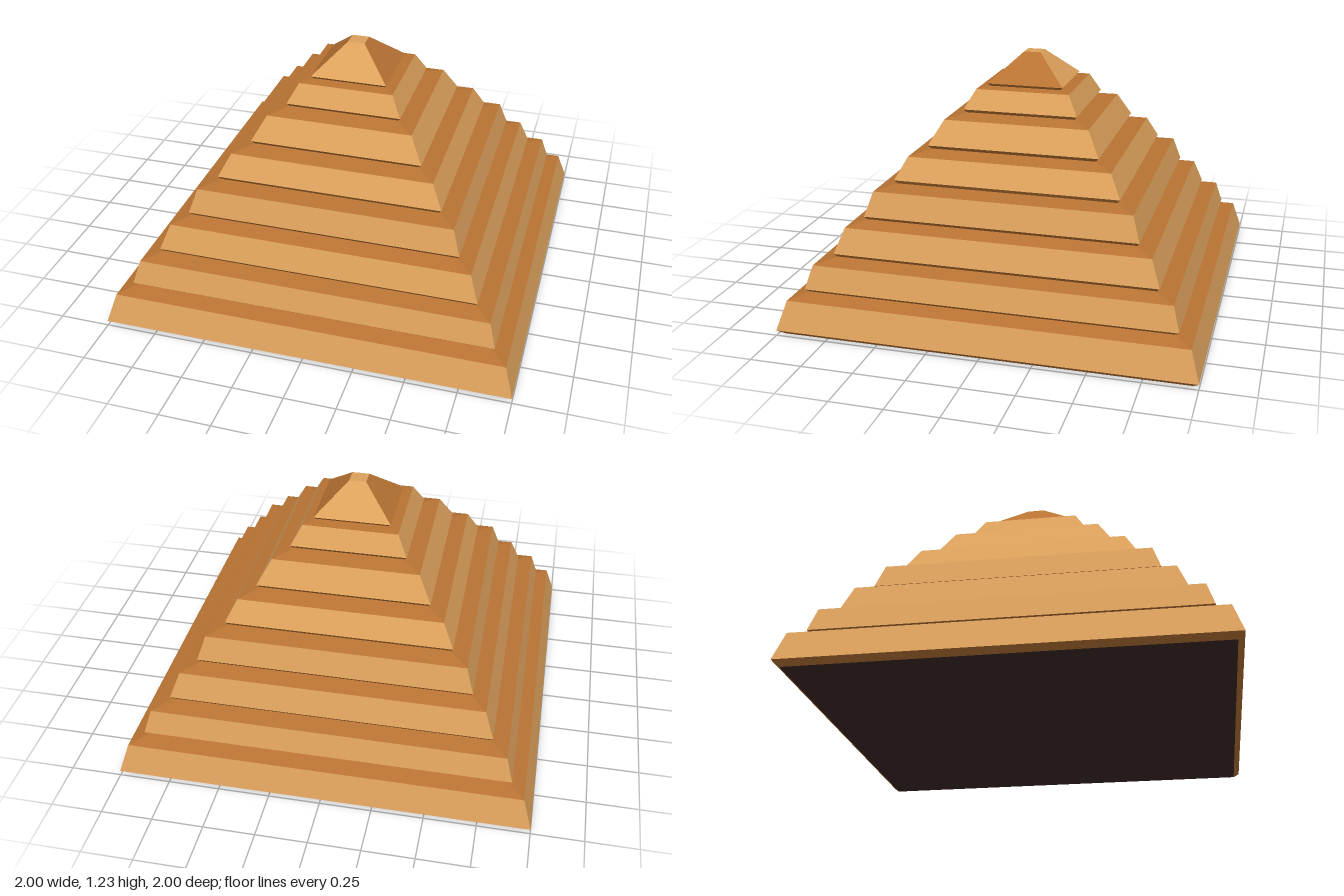
import * as THREE from 'three';

const mat = (name, color) => {
  const m = new THREE.MeshStandardMaterial({ color });
  m.name = name;
  return m;
};

// Open four-sided band from half-width w0 at y0 up to half-width w1 at y1.
// Faces come in the order +x, -z, -x, +z.
function band(name, [w0, y0], [w1, y1], material) {
  const r = Math.SQRT2;
  const g = new THREE.CylinderGeometry(w1 * r, w0 * r, y1 - y0, 4, 1, true, Math.PI / 4)
    .toNonIndexed();
  g.translate(0, (y0 + y1) / 2, 0);
  g.computeVertexNormals();
  if (Array.isArray(material)) {
    g.clearGroups();
    for (let i = 0; i < 4; i++) g.addGroup(i * 6, 6, i % 2);
  }
  const mesh = new THREE.Mesh(g, material);
  mesh.name = name;
  return mesh;
}

// Horizontal square facing up or down.
function plate(name, half, y, material, up) {
  const g = new THREE.PlaneGeometry(half * 2, half * 2);
  g.rotateX(up ? -Math.PI / 2 : Math.PI / 2).translate(0, y, 0);
  const mesh = new THREE.Mesh(g, material);
  mesh.name = name;
  return mesh;
}

export function createModel() {
  const sand = mat('sandstone', 0xdda15c);
  const clay = mat('clay brown', 0xb87333);
  const dark = mat('dark base', 0x3e2a26);

  // Each tier: [half-width, height] at its inner foot, lip and top edge
  const tiers = [
    [[0.97, 0], [1, 0.025], [0.957, 0.165]],
    [[0.875, 0.187], [0.893, 0.203], [0.86, 0.317]],
    [[0.772, 0.337], [0.785, 0.353], [0.74, 0.475]],
    [[0.657, 0.497], [0.67, 0.513], [0.632, 0.632]],
    [[0.542, 0.652], [0.555, 0.67], [0.5, 0.778]],
    [[0.41, 0.8], [0.425, 0.818], [0.36, 0.936]],
    [[0.272, 0.957], [0.285, 0.973], [0.234, 1.068]],
    [[0.178, 1.075], [0.19, 1.088], [0.042, 1.227]],
  ];

  const model = new THREE.Group();
  model.name = 'steppedPyramid';
  tiers.forEach(([foot, lip, top], i) => {
    const next = tiers[i + 1];
    const tier = new THREE.Group();
    tier.name = next ? `tier${i + 1}` : 'cap';
    tier.add(band('undercut', foot, lip, clay));
    // The cap alternates colours: clay on the sides, sandstone front and back
    tier.add(band('wall', lip, top, next ? sand : [clay, sand]));
    tier.add(next ? band('tread', top, next[0], clay) : plate('tip', top[0], top[1], sand, true));
    model.add(tier);
  });
  model.add(plate('underside', tiers[0][0][0], 0, dark, false));
  return model;
}
